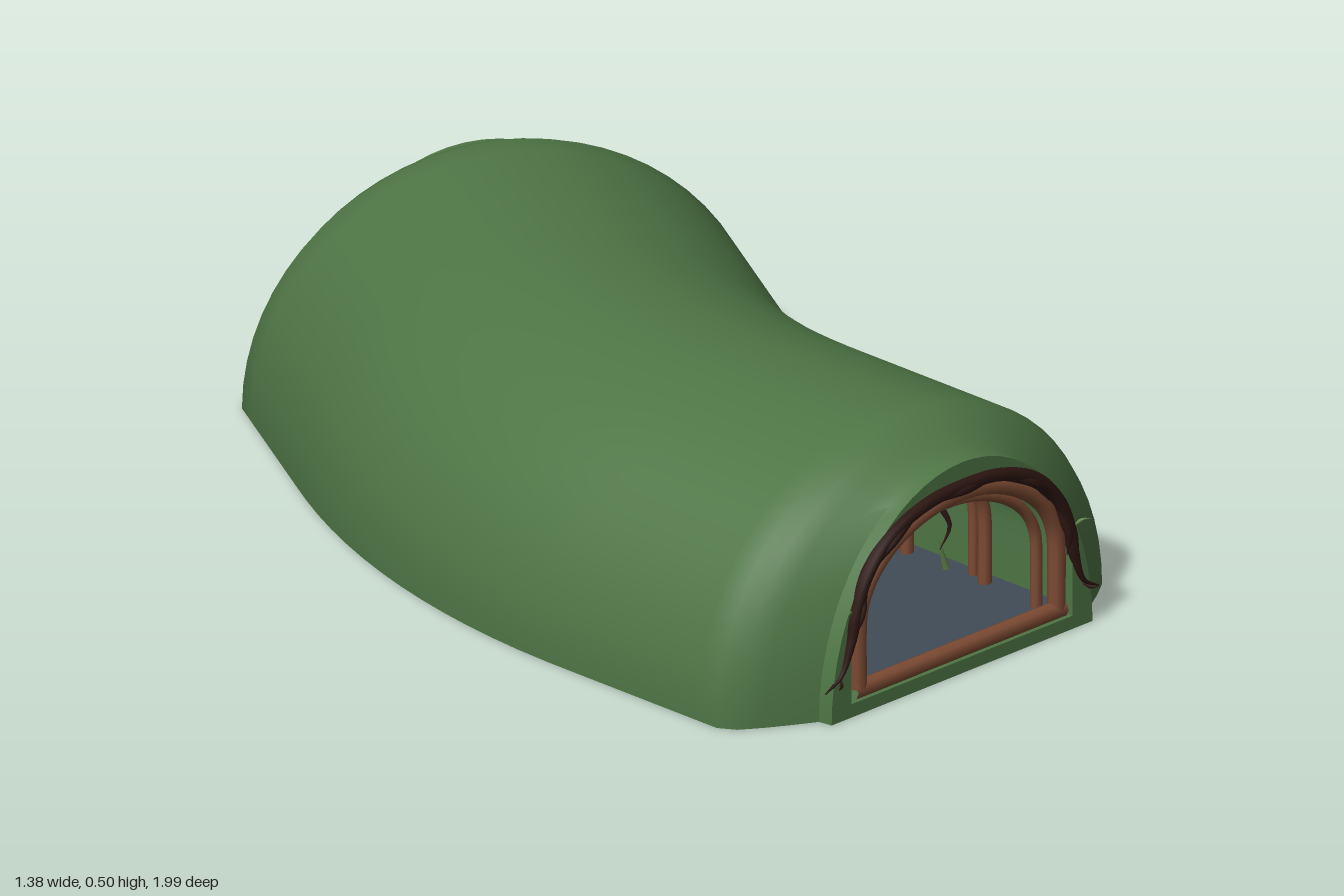
import * as THREE from 'three';
import { toCreasedNormals } from 'three/addons/utils/BufferGeometryUtils.js';

const mat = (name, color, side = THREE.FrontSide) => {
  const m = new THREE.MeshStandardMaterial({ color, side });
  m.name = name;
  return m;
};

// Ground path: straight, 30 degree bend, straight
const STRAIGHT = 0.58, RADIUS = 1.38, BEND = Math.PI / 6;
const ARC = RADIUS * BEND, LENGTH = 2 * STRAIGHT + ARC;
function place(s, u, y) {
  const a = THREE.MathUtils.clamp((s - STRAIGHT) / RADIUS, 0, BEND);
  const extra = s < STRAIGHT ? s - STRAIGHT : Math.max(0, s - STRAIGHT - ARC);
  const x = -0.165 + RADIUS * (1 - Math.cos(a)) + extra * Math.sin(a) + u * Math.cos(a);
  const z = 0.4 - RADIUS * Math.sin(a) - extra * Math.cos(a) + u * Math.sin(a);
  return new THREE.Vector3(x, y, z);
}

// Arch outline: legs from y0 up to yLeg, then a half ellipse up to top
function arch(w, top, y0 = 0, yLeg = y0, n = 32) {
  const pts = [[w, y0]];
  for (let i = 0; i <= n; i++) {
    const a = Math.PI * i / n;
    pts.push([w * Math.cos(a), yLeg + (top - yLeg) * Math.sin(a)]);
  }
  pts.push([-w, y0]);
  return pts;
}

// Skin closed outlines placed along the path
function loft(sections) {
  const pos = [], idx = [], n = sections[0].pts.length, m = sections.length;
  for (const { s, pts } of sections) for (const [u, y] of pts) pos.push(...place(s, u, y).toArray());
  for (let i = 0; i < m; i++) for (let j = 0; j < n; j++) {
    const i2 = (i + 1) % m, j2 = (j + 1) % n;
    const a = i * n + j, b = i2 * n + j, c = i2 * n + j2, d = i * n + j2;
    idx.push(a, b, c, a, c, d);
  }
  const g = new THREE.BufferGeometry();
  g.setAttribute('position', new THREE.Float32BufferAttribute(pos, 3));
  g.setIndex(idx);
  return toCreasedNormals(g, 0.6);
}

// Tube through points, optionally narrowing to pointed ends
function tube(points, r, { closed = false, segs = 48, taper = 0 } = {}) {
  const curve = new THREE.CatmullRomCurve3(points, closed, 'centripetal');
  const g = new THREE.TubeGeometry(curve, segs, r, 8, closed);
  if (taper) {
    const p = g.attributes.position, v = new THREE.Vector3();
    for (let i = 0; i < p.count; i++) {
      const t = Math.floor(i / 9) / segs;
      const k = Math.min(1, 0.08 + Math.min(t, 1 - t) / taper);
      v.fromBufferAttribute(p, i).lerp(curve.getPointAt(t), 1 - k);
      p.setXYZ(i, v.x, v.y, v.z);
    }
  }
  return g;
}

export function createModel() {
  const moss = mat('moss green', 0x4e7545);
  const wood = mat('brown wood', 0x7d4b33);
  const root = mat('dark root', 0x2c1511);
  const slate = mat('slate floor', 0x414c57, THREE.DoubleSide);
  const leaf = mat('sprig green', 0x5f7f45);
  const model = new THREE.Group();
  model.name = 'curvedBurrowTunnel';
  const add = (name, geo, m, parent = model) => {
    const mesh = new THREE.Mesh(geo, m);
    mesh.name = name;
    parent.add(mesh);
    return mesh;
  };

  // Hollow earth shell: tapered mouths, outer skin, then back along the bore
  const mouth = [[0, 0.36, 0.445], [0.03, 0.365, 0.447], [0.055, 0.41, 0.458], [0.085, 0.46, 0.475],
    [0.115, 0.503, 0.492], [0.15, 0.525, 0.505]];
  const sections = mouth.map(([s, w, h]) => ({ s, pts: arch(w, h) }));
  const STEPS = 28;
  for (let i = 1; i < STEPS; i++) {
    sections.push({ s: 0.15 + (LENGTH - 0.3) * i / STEPS, pts: arch(0.525, 0.505) });
  }
  for (const [s, w, h] of [...mouth].reverse()) sections.push({ s: LENGTH - s, pts: arch(w, h) });
  for (let i = STEPS; i >= 0; i--) {
    sections.push({ s: LENGTH * i / STEPS, pts: arch(0.305, 0.41, 0.028, 0.17) });
  }
  add('earthShell', loft(sections), moss);

  // Floor strip following the bend
  const floor = new THREE.PlaneGeometry(0.6, LENGTH - 0.06, 1, 30);
  const fp = floor.attributes.position;
  for (let i = 0; i < fp.count; i++) {
    const p = place(LENGTH / 2 + fp.getY(i), fp.getX(i), 0.05);
    fp.setXYZ(i, p.x, p.y, p.z);
  }
  floor.computeVertexNormals();
  add('floor', floor, slate);

  // Wooden ribs along the bore, every other one with a root wound on it
  const ribs = new THREE.Group();
  ribs.name = 'ribs';
  model.add(ribs);
  const RIBS = 8;
  for (let i = 0; i < RIBS; i++) {
    const s = 0.2 + (LENGTH - 0.4) * i / (RIBS - 1);
    const line = (ds, w, top) => arch(w, top, 0.05, 0.18, 14).map(([u, y]) => place(s + ds, u, y));
    add('rib', tube(line(0, 0.265, 0.36), 0.014), wood, ribs);
    add('ribTwin', tube(line(0.045, 0.28, 0.38), 0.011), wood, ribs);
    if (i % 2) add('ribRoot', tube(line(0.022, 0.26, 0.35), 0.008, { taper: 0.2 }), root, ribs);
    // Hanging roots and floor sprigs beside the rib
    for (const side of [-1, 1]) {
      const hang = [[0.24, 0.26], [0.235, 0.2], [0.25, 0.15], [0.235, 0.1]]
        .map(([u, y], k) => place(s + 0.08 + 0.012 * (k % 2), side * u, y));
      add('hangingRoot', tube(hang, 0.007, { segs: 12, taper: 0.6 }), root, ribs);
      const sprig = add('sprig', new THREE.ConeGeometry(0.008, 0.07, 5), leaf, ribs);
      sprig.position.copy(place(s + 0.1, side * 0.25, 0.085));
      sprig.rotation.z = side * 0.3;
    }
  }

  // Both entrances share one design
  for (const [name, at, dir] of [['frontEntrance', 0, 1], ['backEntrance', LENGTH, -1]]) {
    const entrance = new THREE.Group();
    entrance.name = name;
    model.add(entrance);
    const pt = (d, u, y) => place(at + dir * d, u, y);

    // Door frame: arched tube and sill
    const frame = arch(0.274, 0.375, 0.05, 0.18, 18).map(([u, y]) => pt(0.014, u, y));
    add('frameArch', tube(frame, 0.018, { segs: 64 }), wood, entrance);
    const inner = arch(0.25, 0.345, 0.05, 0.18, 18).map(([u, y]) => pt(0.045, u, y));
    add('innerArch', tube(inner, 0.012, { segs: 64 }), wood, entrance);
    add('frameSill', tube([pt(0.014, -0.29, 0.046), pt(0.014, 0, 0.046), pt(0.014, 0.29, 0.046)], 0.018), wood, entrance);

    // Root draped over the arch with flared tips
    const half = [[0.378, 0.07], [0.335, 0.095], [0.308, 0.16], [0.297, 0.21], [0.265, 0.285], [0.2, 0.35], [0.1, 0.388]];
    const drape = [...half, [0, 0.396], ...half.map(([u, y]) => [-u, y]).reverse()];
    add('drapedRoot', tube(drape.map(([u, y]) => pt(0, u, y)), 0.014, { segs: 90, taper: 0.15 }), root, entrance);
    add('twistedRoot', tube(drape.slice(2, -2).map(([u, y], k) => pt(k % 2 ? -0.008 : 0.01, u * 0.97, y - 0.006)), 0.01,
      { segs: 80, taper: 0.1 }), root, entrance);

    // Small twigs poking out at the sides
    for (const side of [-1, 1]) for (const [u, y, du, dy] of [[0.305, 0.21, 0.03, 0.02], [0.33, 0.09, 0.03, -0.01]]) {
      const twig = [pt(0.005, side * u, y), pt(-0.012, side * (u + du / 2), y + dy), pt(-0.02, side * (u + du), y + dy)];
      add('twig', tube(twig, 0.005, { segs: 8, taper: 0.7 }), y > 0.1 ? leaf : root, entrance);
    }
  }
  return model;
}
